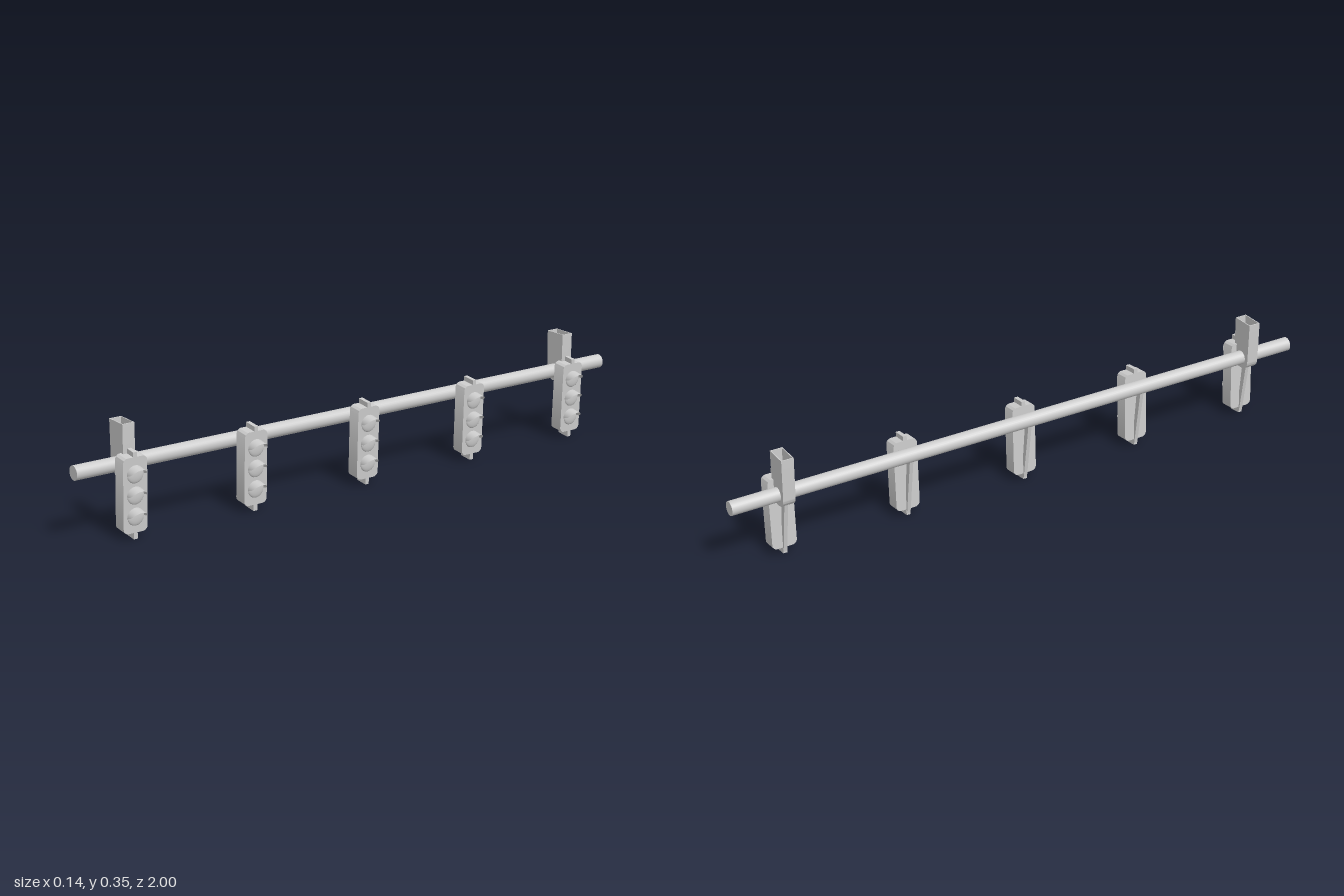
import * as THREE from 'three';
import { toCreasedNormals } from 'three/addons/utils/BufferGeometryUtils.js';
import { ParametricGeometry } from 'three/addons/geometries/ParametricGeometry.js';

const grey = new THREE.MeshStandardMaterial({ color: 0xcccccc });
const greyThin = new THREE.MeshStandardMaterial({ color: 0xcccccc, side: THREE.DoubleSide });

// Housing centre, and the lean of every signal head
const HEAD = { x: 0.007, y: 0.139, depth: 0.0445, height: 0.232, width: 0.08 };
const lean = new THREE.Matrix4()
  .makeBasis(new THREE.Vector3(0.995, -0.1, 0), new THREE.Vector3(0.042, 1, 0), new THREE.Vector3(0, 0, 1))
  .setPosition(HEAD.x, HEAD.y, 0);

function mesh(name, geometry, material = grey) {
  const m = new THREE.Mesh(geometry, material);
  m.name = name;
  return m;
}

// Extrusion centred on z = 0
function slab(shape, depth) {
  const g = new THREE.ExtrudeGeometry(shape, { depth, bevelEnabled: false, curveSegments: 8 });
  g.translate(0, 0, -depth / 2);
  return toCreasedNormals(g, 0.6);
}

function polygon(points) {
  return new THREE.Shape(points.map(([x, y]) => new THREE.Vector2(x, y)));
}

function roundedRect(w, h, r) {
  const s = new THREE.Shape();
  const x = w / 2, y = h / 2;
  s.absarc(x - r, y - r, r, 0, Math.PI / 2);
  s.absarc(-x + r, y - r, r, Math.PI / 2, Math.PI);
  s.absarc(-x + r, -y + r, r, Math.PI, Math.PI * 1.5);
  s.absarc(x - r, -y + r, r, Math.PI * 1.5, Math.PI * 2);
  return s;
}

// Visor: half tube whose sides sweep back to the face
function visorGeometry() {
  const radius = 0.028, length = 0.037;
  return new ParametricGeometry((u, v, target) => {
    const a = (u - 0.5) * Math.PI;
    const reach = length * Math.sqrt(Math.max(0, Math.cos(a))) * v;
    const r = radius * (1 - 0.07 * reach / length);
    target.set(reach, r * Math.cos(a), r * Math.sin(a));
  }, 20, 4);
}

function createHead() {
  const head = new THREE.Group();
  head.name = 'signalHead';
  const face = HEAD.depth / 2;

  const housing = slab(roundedRect(HEAD.width, HEAD.height, 0.016), HEAD.depth);
  housing.rotateY(Math.PI / 2);
  head.add(mesh('housing', housing.applyMatrix4(lean)));

  // Mounting tabs above and below the housing
  for (const [name, y] of [['topTab', 0.121], ['bottomTab', -0.126]]) {
    const tab = new THREE.BoxGeometry(HEAD.depth, 0.02, 0.013);
    tab.translate(0, y, 0);
    head.add(mesh(name, tab.applyMatrix4(lean)));
  }

  // Three lamps, each a shallow lens under a visor
  for (const y of [0.063, -0.002, -0.067]) {
    const lens = new THREE.SphereGeometry(0.027, 20, 6, 0, Math.PI * 2, 0, Math.PI / 2);
    lens.rotateZ(-Math.PI / 2).scale(0.26, 1, 1).translate(face, y, 0);
    head.add(mesh('lens', lens.applyMatrix4(lean)));
    const visor = visorGeometry().translate(face, y, 0);
    head.add(mesh('visor', visor.applyMatrix4(lean), greyThin));
  }

  // Brace from the pole down to the bottom tab
  const brace = polygon([[-0.022, 0.012], [-0.012, 0.02], [-0.028, 0.2], [-0.048, 0.2]]);
  head.add(mesh('brace', slab(brace, 0.012)));
  return head;
}

// Hanger: open-topped sleeve with a rounded foot
function hangerOutline(inset) {
  const l = -0.072 + inset, r = 0.002 - inset, top = 0.346, bottom = 0.183 + inset;
  const c = 0.03 - inset;
  const s = new THREE.Shape();
  s.moveTo(r, top);
  s.lineTo(l, top);
  s.lineTo(l + 0.002, bottom + c);
  s.absarc(l + 0.002 + c, bottom + c, c, Math.PI, Math.PI * 1.5);
  s.absarc(r - 0.002 - c, bottom + c, c, Math.PI * 1.5, Math.PI * 2);
  s.closePath();
  return s;
}

function createHanger() {
  const hanger = new THREE.Group();
  hanger.name = 'hanger';
  const wall = 0.003, width = 0.04;
  const outer = hangerOutline(0).getPoints(8).slice(0, -1);
  const inner = hangerOutline(wall).getPoints(8).slice(0, -1);
  // U-shaped band: down the outer line, back along the inner one
  const band = new THREE.Shape([...outer.slice(1), outer[0], inner[0], ...inner.slice(1).reverse()]);
  hanger.add(mesh('hangerBand', slab(band, width - 2 * wall)));
  for (const side of [-1, 1]) {
    const plate = mesh('hangerPlate', slab(hangerOutline(0), wall));
    plate.position.z = side * (width - wall) / 2;
    hanger.add(plate);
  }
  return hanger;
}

export function createModel() {
  const model = new THREE.Group();
  model.name = 'signalGantry';

  const pole = mesh('pole', new THREE.CylinderGeometry(0.0225, 0.0225, 2, 28));
  pole.rotation.x = Math.PI / 2;
  pole.position.set(-0.0345, 0.2185, 0);
  model.add(pole);

  // Five heads along the pole, hangers at the outer two
  for (let i = -2; i <= 2; i++) {
    const z = 0.005 + i * 0.4155;
    const head = createHead();
    head.position.z = z;
    model.add(head);
    if (Math.abs(i) === 2) {
      const hanger = createHanger();
      hanger.position.z = z;
      model.add(hanger);
    }
  }
  return model;
}
